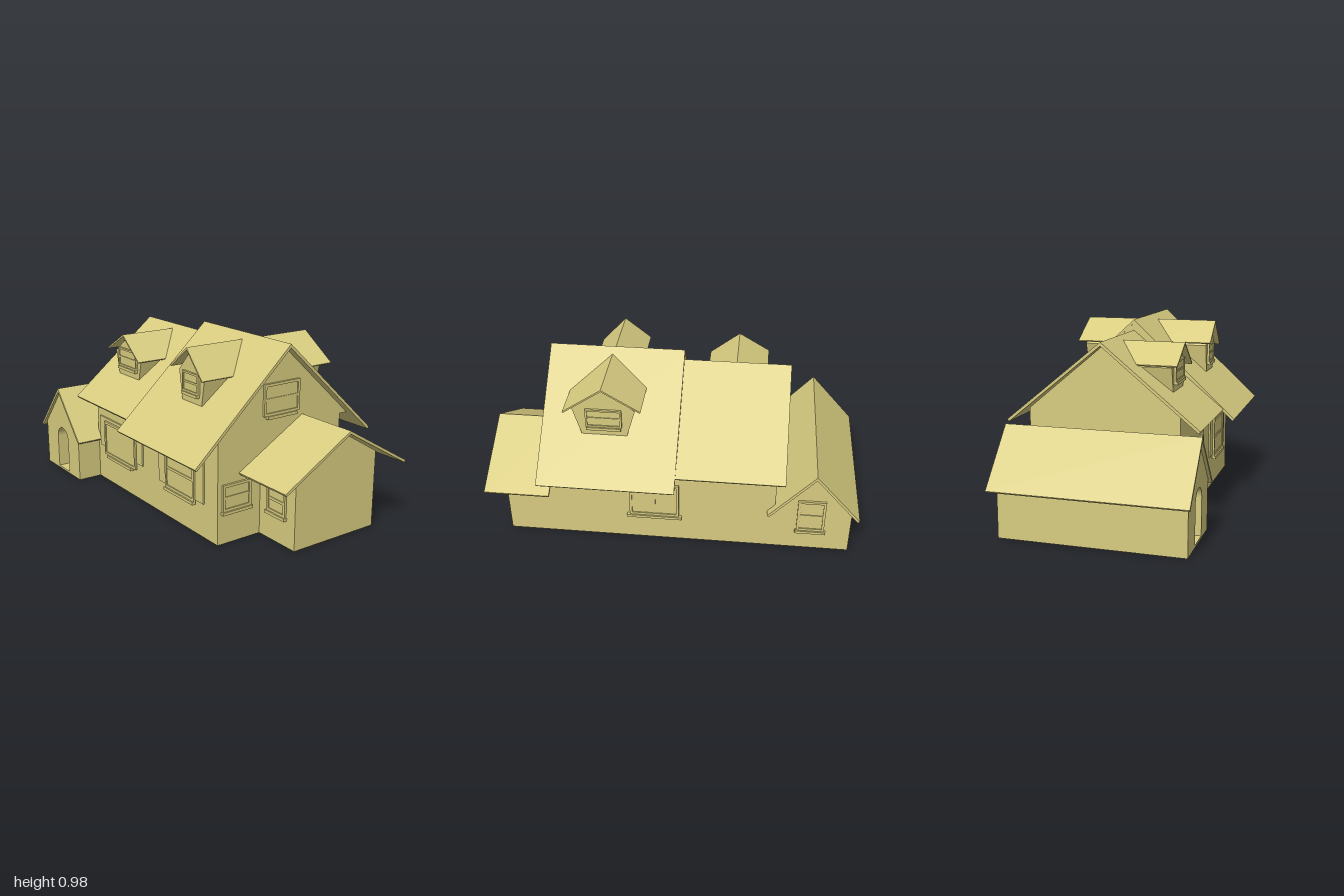
import * as THREE from 'three';

export function createModel() {
  const house = new THREE.Group();
  house.name = 'house';
  const straw = new THREE.MeshStandardMaterial({ color: 0xd8cc80 });
  straw.name = 'straw';

  const add = (parent, name, geometry, x = 0, y = 0, z = 0) => {
    const mesh = new THREE.Mesh(geometry, straw);
    mesh.name = name;
    mesh.position.set(x, y, z);
    parent.add(mesh);
    return mesh;
  };
  const box = (parent, name, w, h, d, x, y, z) =>
    add(parent, name, new THREE.BoxGeometry(w, h, d), x, y, z);
  const shapeOf = (pts) => new THREE.Shape(pts.map(([x, y]) => new THREE.Vector2(x, y)));
  const extrude = (shape, depth) =>
    new THREE.ExtrudeGeometry(shape, { depth, bevelEnabled: false, curveSegments: 10 });

  // Prism between two depths, running along z, or along x when turned
  const prismZ = (name, shape, x, z0, z1) => add(house, name, extrude(shape, z1 - z0), x, 0, z0);
  const prismX = (name, shape, z, x0, x1) => {
    const mesh = add(house, name, extrude(shape, x1 - x0), x0, 0, z);
    mesh.rotation.y = Math.PI / 2;
    return mesh;
  };

  // Cross-section of a two-sided roof of even thickness
  const roofShape = (wl, yl, wr, yr, peak, t) => {
    const ll = Math.hypot(wl, peak - yl), lr = Math.hypot(wr, peak - yr);
    return shapeOf([
      [-wl, yl], [-wl + t * (peak - yl) / ll, yl - t * wl / ll],
      [0, peak - t * Math.max(ll / wl, lr / wr)],
      [wr - t * (peak - yr) / lr, yr - t * wr / lr], [wr, yr], [0, peak],
    ]);
  };
  const wallShape = (half, side, peak) =>
    shapeOf([[-half, 0], [half, 0], [half, side], [0, peak], [-half, side]]);

  // Main block: lower and taller halves, with boxed eaves on the taller one
  prismX('lowerHalfWalls', wallShape(0.4, 0.565, 0.9), 0, -0.55, -0.02);
  prismX('tallerHalfWalls', shapeOf([[-0.4, 0], [0.4, 0], [0.4, 0.545], [0.455, 0.545],
    [0, 0.962], [-0.455, 0.545], [-0.4, 0.545]]), 0, -0.02, 0.65);
  prismX('lowerHalfRoof', roofShape(0.51, 0.505, 0.51, 0.505, 0.922, 0.015), 0, -0.592, -0.02);
  prismX('tallerHalfRoof', roofShape(0.572, 0.453, 0.572, 0.453, 0.98, 0.015), 0, -0.022, 0.704);

  // Side wing
  prismX('sideWingWalls', wallShape(0.2675, 0.413, 0.572), -0.1325, 0.64, 0.92);
  prismX('sideWingRoof', roofShape(0.404, 0.357, 0.404, 0.357, 0.59, 0.014), -0.134, 0.65, 1.0);

  // Entrance wing with an arched porch recess
  const porch = wallShape(0.2075, 0.266, 0.502);
  const arch = new THREE.Path();
  arch.moveTo(-0.062, 0.012);
  arch.lineTo(-0.062, 0.205);
  arch.absarc(0.005, 0.205, 0.067, Math.PI, 0, true);
  arch.lineTo(0.072, 0.012);
  arch.closePath();
  porch.holes.push(arch);
  prismZ('entrancePorch', porch, -0.7525, 0.24, 0.54);
  prismZ('entranceWingWalls', wallShape(0.2075, 0.266, 0.502), -0.7525, -0.4, 0.24);
  prismZ('entranceWingRoof', roofShape(0.246, 0.243, 0.246, 0.243, 0.52, 0.014), -0.754, -0.442, 0.556);

  // Sash window facing +z: thin pane, outer frame, glazing bars and sill
  const windowUnit = (parent, name, w, h, x, y, z, turn = 0, { rows = 2, cols = 1, sill = w * 0.95, bar = 0.014 } = {}) => {
    const unit = new THREE.Group();
    unit.name = name;
    unit.position.set(x, y, z);
    unit.rotation.y = turn;
    box(unit, 'pane', w, h, 0.006, 0, 0, 0.003);
    for (const s of [-1, 1]) {
      box(unit, 'frameSide', bar, h, 0.012, s * (w - bar) / 2, 0, 0.006);
      box(unit, 'frameRail', w, bar, 0.012, 0, s * (h - bar) / 2, 0.006);
    }
    for (let i = 1; i < rows; i++) box(unit, 'crossBar', w, bar, 0.01, 0, h * (i / rows - 0.5), 0.005);
    for (let i = 1; i < cols; i++) box(unit, 'uprightBar', bar, h, 0.01, w * (i / cols - 0.5), 0, 0.005);
    if (sill) box(unit, 'sill', sill, 0.016, 0.02, 0, -h / 2 - 0.008, 0.01);
    parent.add(unit);
  };

  // Wide front windows: a shallow surround with a sash inside
  box(house, 'frontSurround', 0.47, 0.18, 0.01, -0.275, 0.3, 0.404);
  windowUnit(house, 'frontWindow', 0.345, 0.2, -0.272, 0.272, 0.407, 0, { rows: 1, sill: 0.27 });
  box(house, 'frontSurround', 0.41, 0.23, 0.01, 0.335, 0.3, 0.404);
  windowUnit(house, 'frontWindow', 0.265, 0.225, 0.337, 0.288, 0.407, 0, { sill: 0.265 });

  // Gable, side wall and wing windows
  const right = Math.PI / 2, back = Math.PI;
  windowUnit(house, 'gableWindow', 0.23, 0.165, 0.65, 0.702, 0.01, right, { sill: 0.19 });
  windowUnit(house, 'sideWindow', 0.175, 0.14, 0.65, 0.245, 0.287, right, { sill: 0.185 });
  windowUnit(house, 'sideWingWindow', 0.14, 0.14, 0.785, 0.225, 0.135, 0, { sill: 0.15 });

  // Back windows
  windowUnit(house, 'backWindow', 0.27, 0.21, 0.105, 0.27, -0.4, back, { rows: 1, cols: 2, sill: 0.3 });
  windowUnit(house, 'entranceWingBackWindow', 0.15, 0.2, -0.745, 0.23, -0.4, back, { sill: 0.165 });

  // Dormers: flared walls, small pitched roof and a window
  const dormer = (name, x, front, roofFront, d, facingBack) => {
    const group = new THREE.Group();
    group.name = name;
    group.position.x = x;
    if (facingBack) group.rotation.y = Math.PI;
    const start = 0.02;
    add(group, 'dormerWalls', extrude(shapeOf([
      [-d.foot, d.base], [d.foot, d.base], [d.top, d.side], [0, d.peak - 0.012], [-d.top, d.side],
    ]), front - start), 0, 0, start);
    add(group, 'dormerRoof', extrude(
      roofShape(d.wl, d.yl, d.wr, d.yr, d.peak, 0.008), roofFront - start), 0, 0, start);
    windowUnit(group, 'dormerWindow', d.win, 0.105, 0, d.base + 0.105, front, 0, { bar: 0.01 });
    house.add(group);
  };
  dormer('frontLowerDormer', -0.3, 0.325, 0.36,
    { foot: 0.105, base: 0.655, top: 0.138, side: 0.785, peak: 0.9, wl: 0.17, yl: 0.8, wr: 0.163, yr: 0.772, win: 0.19 });
  dormer('frontTallDormer', 0.36, 0.35, 0.382,
    { foot: 0.085, base: 0.662, top: 0.112, side: 0.815, peak: 0.95, wl: 0.145, yl: 0.835, wr: 0.135, yr: 0.803, win: 0.14 });
  dormer('backDormer', 0.365, 0.362, 0.397,
    { foot: 0.12, base: 0.655, top: 0.165, side: 0.81, peak: 0.95, wl: 0.208, yl: 0.807, wr: 0.2, yr: 0.83, win: 0.19 }, true);

  return house;
}
